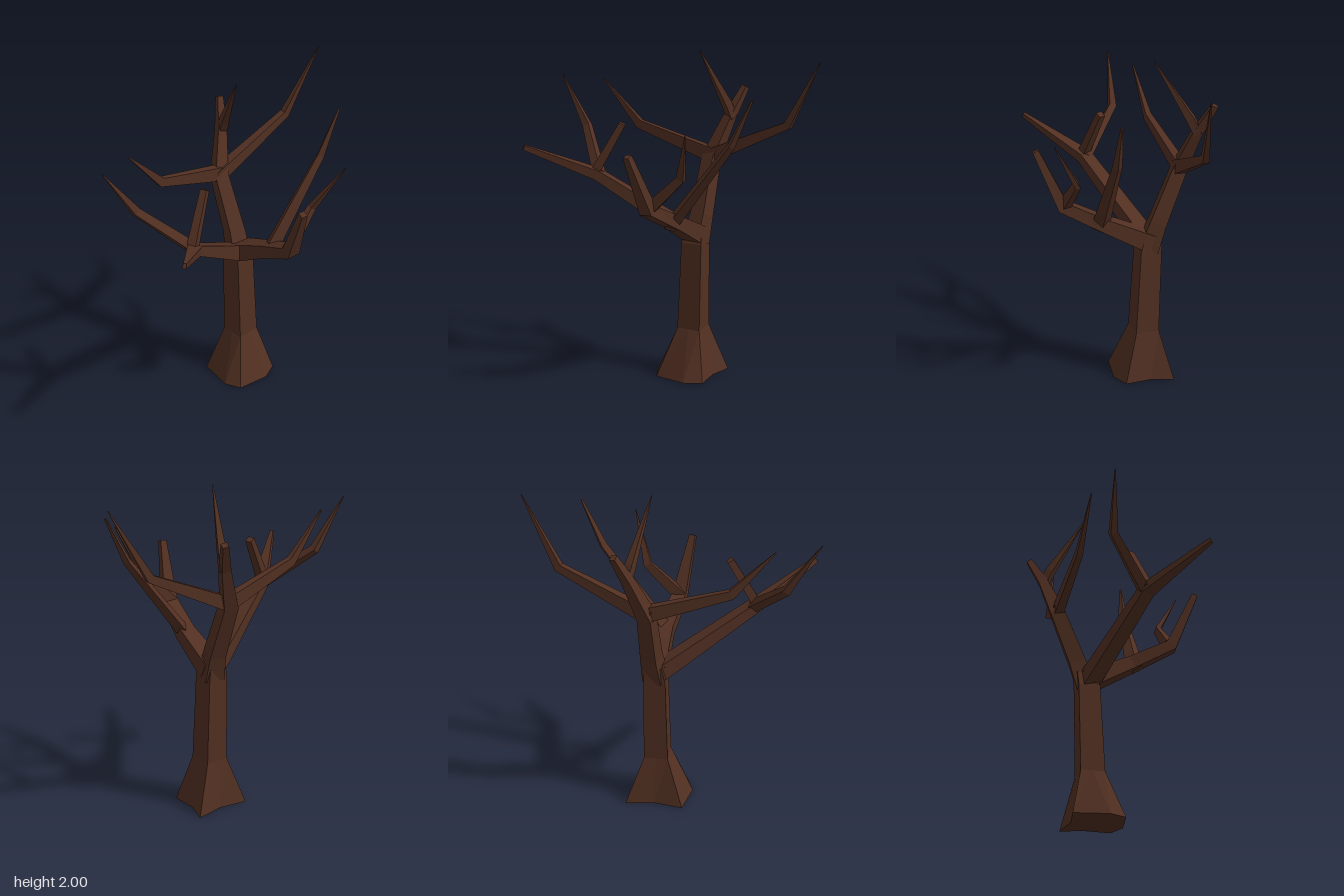
import * as THREE from 'three';

const bark = new THREE.MeshStandardMaterial({ color: 0x523022, flatShading: true });
const V = (p) => new THREE.Vector3(p[0], p[1], p[2]);

// Closed skin over a list of rings (each ring counter-clockwise about the growth direction)
function loft(rings) {
  const pos = [];
  const tri = (...pts) => pts.forEach((p) => pos.push(p.x, p.y, p.z));
  const centre = (r) => r.reduce((s, p) => s.add(p), new THREE.Vector3()).divideScalar(r.length);
  const n = rings[0].length;
  const first = rings[0], last = rings[rings.length - 1];
  const c0 = centre(first), c1 = centre(last);
  for (let i = 0; i < n; i++) {
    const j = (i + 1) % n;
    for (let k = 0; k + 1 < rings.length; k++) {
      const a = rings[k], b = rings[k + 1];
      tri(a[i], a[j], b[j]);
      tri(a[i], b[j], b[i]);
    }
    tri(c0, first[j], first[i]);
    tri(c1, last[i], last[j]);
  }
  const g = new THREE.BufferGeometry();
  g.setAttribute('position', new THREE.Float32BufferAttribute(pos, 3));
  g.computeVertexNormals();
  return g;
}

const square = [[1, -1], [1, 1], [-1, 1], [-1, -1]];
const diamond = [[1, 0], [0, 1], [-1, 0], [0, -1]];

// Tapered four-sided limb: each point is [x, y, z, sideways half width, upright half width]
function limb(points, section) {
  const c = points.map(V);
  let side = null;
  const rings = points.map((p, k) => {
    const dir = new THREE.Vector3();
    if (k > 0) dir.add(c[k].clone().sub(c[k - 1]).normalize());
    if (k + 1 < c.length) dir.add(c[k + 1].clone().sub(c[k]).normalize());
    dir.normalize();
    if (!side) side = new THREE.Vector3().crossVectors(dir, new THREE.Vector3(0, 1, 0));
    side.addScaledVector(dir, -side.dot(dir)).normalize();
    const up = new THREE.Vector3().crossVectors(dir, side);
    const rs = p[3], ru = p[4] ?? rs;
    return section.map(([s, u]) => c[k].clone().addScaledVector(side, s * rs).addScaledVector(up, u * ru));
  });
  return loft(rings);
}

// Trunk: uneven root flare, then square rings with a point at each corner and mid-side
function trunkGeometry() {
  const foot = [[0.23, -0.13], [0.275, -0.265], [0.1, -0.24], [-0.075, -0.27],
    [-0.115, -0.06], [-0.075, 0.04], [0.12, 0.075], [0.23, 0.03]];
  const around = [[1, 0], [1, -1], [0, -1], [-1, -1], [-1, 0], [-1, 1], [0, 1], [1, 1]];
  const rings = [foot.map(([x, z]) => new THREE.Vector3(x, 0, z))];
  for (const [x, y, z, r] of [[0.095, 0.3, -0.13, 0.073], [0.098, 0.84, -0.152, 0.065], [0.105, 0.93, -0.17, 0.052]]) {
    rings.push(around.map(([u, v]) => new THREE.Vector3(x + u * r, y, z + v * r)));
  }
  return loft(rings);
}

const squareLimbs = {
  // Rear bough and its offshoots
  rearBough: [[0.1, 0.84, -0.152, 0.06], [0.115, 1.0, -0.205, 0.05], [0.12, 1.33, -0.335, 0.043],
    [0.21, 1.58, -0.41, 0.028], [0.275, 1.75, -0.487, 0.018]],
  rearTopTwig: [[0.22, 1.57, -0.41, 0.024], [0.2, 1.66, -0.37, 0.024], [0.11, 2.0, -0.175, 0.002]],
  rearRightBranch: [[0.14, 1.34, -0.335, 0.028, 0.045], [-0.36, 1.495, -0.32, 0.018, 0.027], [-0.6, 1.76, -0.31, 0.003]],
  rearLeftBranch: [[0.1, 1.33, -0.335, 0.033, 0.043], [0.63, 1.58, -0.28, 0.02, 0.024], [0.845, 1.98, -0.21, 0.002]],

  // Right bough and its stub
  rightBough: [[0.11, 0.86, -0.16, 0.052, 0.05], [-0.46, 1.25, 0.06, 0.042, 0.03], [-0.795, 1.44, 0.345, 0.01, 0.015]],
  rightStub: [[-0.48, 1.25, 0.06, 0.028], [-0.315, 1.56, 0.0, 0.02]],

  // Front bough and its twig
  frontBough: [[0.1, 0.88, -0.16, 0.065, 0.056], [0.08, 1.025, 0.12, 0.05, 0.04], [0.025, 1.15, 0.355, 0.042, 0.035],
    [-0.033, 1.49, 0.495, 0.019]],
  frontTwig: [[0.02, 1.15, 0.34, 0.025, 0.036], [0.22, 1.35, 0.33, 0.016, 0.025], [0.32, 1.64, 0.49, 0.002]],
};

const ridgedLimbs = {
  frontLeftBranch: [[0.06, 1.0, 0.135, 0.058, 0.042], [0.46, 1.53, 0.172, 0.03, 0.025], [0.59, 1.805, 0.192, 0.007]],
  rightTwig: [[-0.45, 1.25, 0.05, 0.042], [-0.66, 1.48, -0.195, 0.032], [-0.85, 1.785, -0.235, 0.003]],
};

export function createModel() {
  const tree = new THREE.Group();
  tree.name = 'bareTree';
  const add = (name, geometry) => {
    const mesh = new THREE.Mesh(geometry, bark);
    mesh.name = name;
    tree.add(mesh);
  };
  add('trunk', trunkGeometry());
  for (const [name, points] of Object.entries(squareLimbs)) add(name, limb(points, square));
  for (const [name, points] of Object.entries(ridgedLimbs)) add(name, limb(points, diamond));
  return tree;
}
